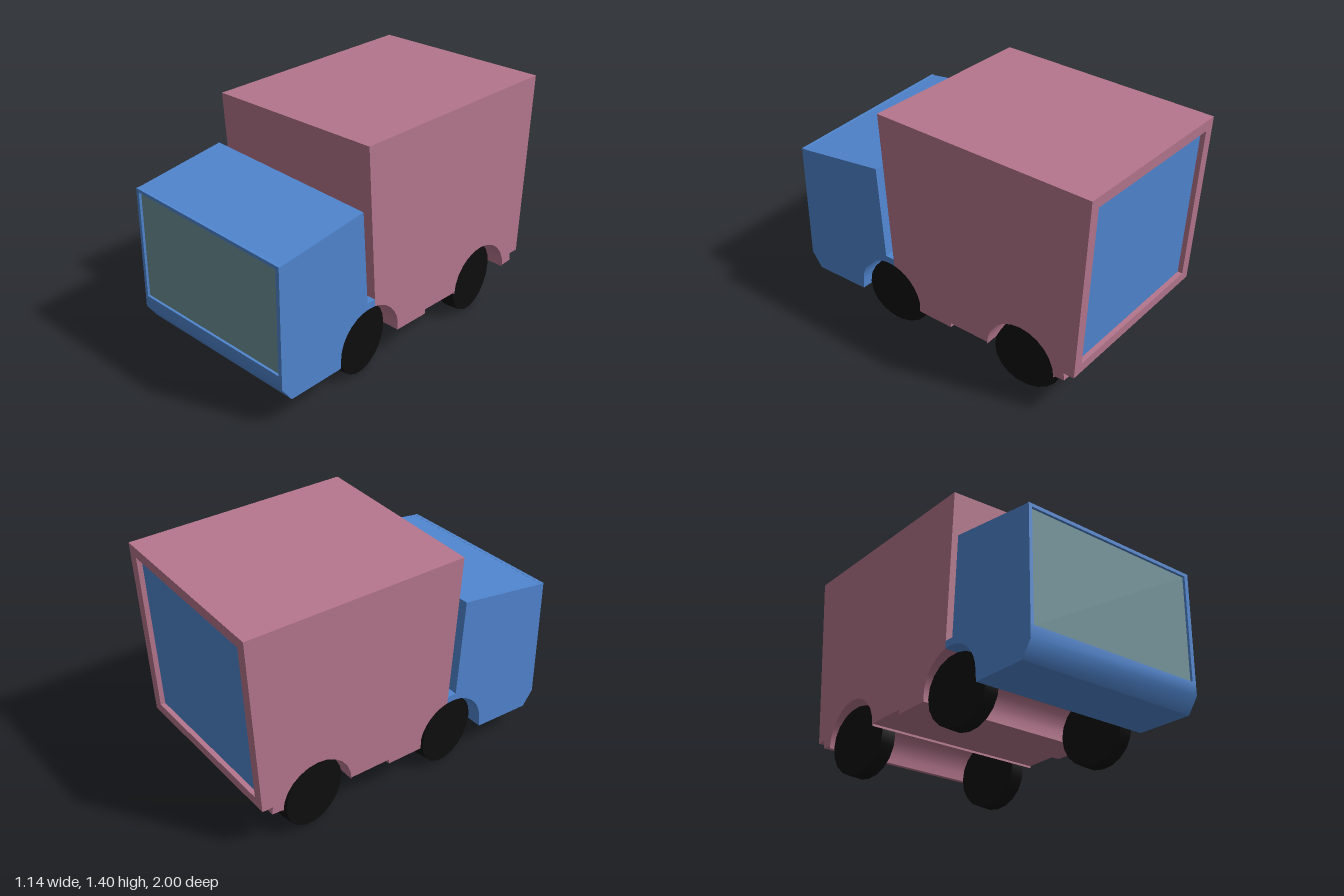
import * as THREE from 'three';
import { toCreasedNormals } from 'three/addons/utils/BufferGeometryUtils.js';

const paint = (color) => new THREE.MeshStandardMaterial({ color });
const HALF = 0.568;
const WHEELS = [0.35, -0.585]; // z of the two axles

// Points along a wheel arch, angles in degrees measured from +z
function arch(z, from, to, steps) {
  return Array.from({ length: steps + 1 }, (_, i) => {
    const a = THREE.MathUtils.degToRad(from + ((to - from) * i) / steps);
    return [z + 0.225 * Math.cos(a), 0.215 + 0.225 * Math.sin(a)];
  });
}

const shapeOf = (points) => new THREE.Shape(points.map((p) => new THREE.Vector2(...p)));

// Moves every vertex by a rule
function warp(geometry, rule) {
  const pos = geometry.attributes.position;
  const v = new THREE.Vector3();
  for (let i = 0; i < pos.count; i++) {
    rule(v.fromBufferAttribute(pos, i));
    pos.setXYZ(i, v.x, v.y, v.z);
  }
  return toCreasedNormals(geometry, THREE.MathUtils.degToRad(45));
}

// Side profile of [z, y] points carried across the full width
function sideProfile(points) {
  return new THREE.ExtrudeGeometry(shapeOf(points), { depth: HALF * 2, bevelEnabled: false })
    .translate(0, 0, -HALF)
    .rotateY(-Math.PI / 2);
}

// Slightly crooked roofs: tilt only what lies above the given height
const tilt = (v, k, above) => { if (v.y > above) v.y += k * v.x; };
const cabTilt = (v) => tilt(v, -0.024, 0.9);
const boxTilt = (v) => tilt(v, 0.031, 1.2);
const rearSlope = (y) => -0.94 - (0.06 * (y - 0.28)) / 1.1;

export function createModel() {
  const model = new THREE.Group();
  const blue = paint(0x5086d0);
  const pink = paint(0xb5768d);
  const glass = paint(0x6e9199);
  const black = paint(0x0d0d0d);

  const add = (name, geometry, material) => {
    const mesh = new THREE.Mesh(geometry, material);
    mesh.name = name;
    model.add(mesh);
    return mesh;
  };

  // Cab with chamfered bumper, front wheel arch and rear ledge
  const cab = sideProfile([
    [0.98, 0.976], [0.98, 0.315], [1, 0.315], [1, 0.24], [0.935, 0.15], [0.578, 0.16],
    ...arch(WHEELS[0], 0, 99, 8),
    [0.315, 0.48], [0.375, 0.48], [0.413, 1.057],
  ].reverse());
  add('cab', warp(cab, cabTilt), blue);

  // Raised surround of the windscreen
  const surround = new THREE.ExtrudeGeometry(shapeOf([
    [-HALF, 0.315], [-0.547, 0.315], [-0.547, 0.957], [0.543, 0.957],
    [0.543, 0.315], [HALF, 0.315], [HALF, 0.977], [-HALF, 0.977],
  ]), { depth: 0.02, bevelEnabled: false }).translate(0, 0, 0.98);
  add('windscreenSurround', warp(surround, cabTilt), blue);

  // Windscreen, set back into the surround
  const screen = new THREE.BoxGeometry(1.09, 0.642, 0.01).translate(-0.002, 0.636, 0.98);
  add('windscreen', warp(screen, cabTilt), glass);

  // Cargo box with chassis steps and rear wheel arch
  const inset = 0.035;
  const box = sideProfile([
    [0.375, 1.38], [rearSlope(1.38) + inset, 1.38], [rearSlope(0.28) + inset, 0.28],
    [-0.875, 0.28], [-0.88, 0.233], [-0.81, 0.228],
    ...arch(WHEELS[1], 180, 0, 12),
    [-0.36, 0.228], [-0.1, 0.228], [-0.1, 0.2], [0.13, 0.2],
    ...arch(WHEELS[0], 168, 99, 6),
  ]);
  add('cargoBox', warp(box, boxTilt), pink);

  // Rear door frame, leaning with the back of the box
  const frameShape = shapeOf([[-HALF, 0.28], [HALF, 0.28], [HALF, 1.38], [-HALF, 1.38]]);
  frameShape.holes.push(new THREE.Path([
    [-0.505, 0.34], [-0.505, 1.315], [0.505, 1.315], [0.505, 0.34],
  ].map((p) => new THREE.Vector2(...p))));
  const frame = new THREE.ExtrudeGeometry(frameShape, { depth: inset, bevelEnabled: false });
  const lean = (v) => { v.z += rearSlope(v.y); boxTilt(v); };
  add('rearDoorFrame', warp(frame, lean), pink);

  // Rear door panel, recessed in the frame
  const door = new THREE.BoxGeometry(1.01, 0.975, 0.01).translate(0, 0.8275, inset);
  add('rearDoor', warp(door, lean), blue);

  // Wheels
  for (const [axle, z] of WHEELS.entries()) {
    for (const [side, x] of [['Right', -0.476], ['Left', 0.453]]) {
      const tyre = new THREE.CylinderGeometry(0.206, 0.206, 0.096, 20)
        .rotateX(Math.PI / 20).rotateZ(Math.PI / 2);
      add((axle ? 'rear' : 'front') + side + 'Wheel', tyre, black).position.set(x, 0.206, z);
    }
  }

  return model;
}
